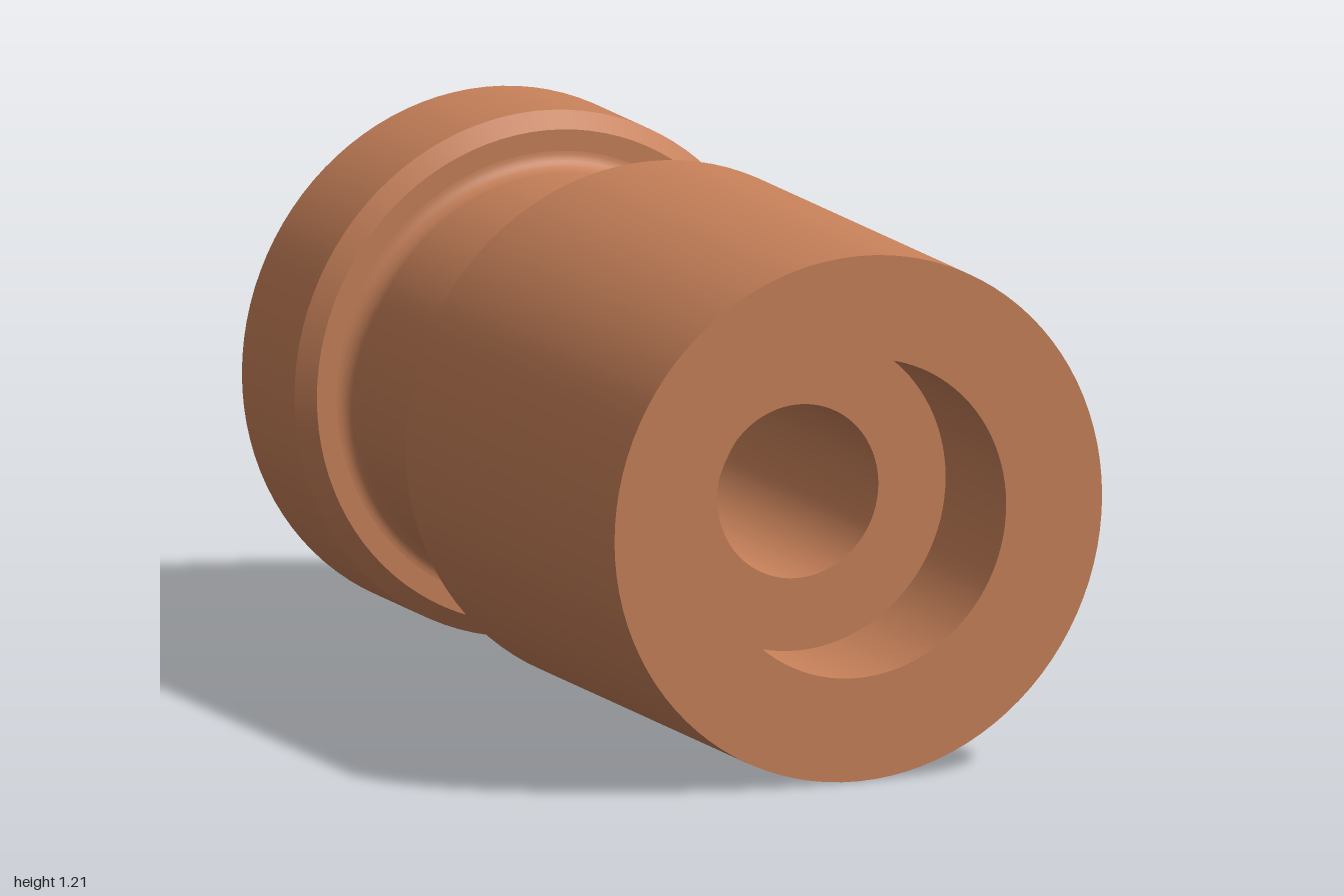
import * as THREE from 'three';
import { mergeGeometries } from 'three/addons/utils/BufferGeometryUtils.js';

const R = 0.605;        // outer radius
const GROOVE = 0.478;   // neck radius
const SOCKET = 0.367;   // counterbore radius
const BORE = 0.2;       // through hole radius
const DEPTH = 0.325;    // counterbore depth
const CHAMFER = 0.038, FILLET = 0.04;
const NECK_BACK = -0.68, NECK_FRONT = -0.16;

// Quarter-round between two profile angles, as [radius, z] points
function arc(r, z, from, to) {
  return Array.from({ length: 9 }, (_, i) => {
    const a = from + (to - from) * i / 8;
    return [r + FILLET * Math.cos(a), z + FILLET * Math.sin(a)];
  });
}

export function createModel() {
  const group = new THREE.Group();
  const copper = new THREE.MeshStandardMaterial({ color: 0xc68059 });
  copper.name = 'copper';

  // Revolve each smooth run separately so the edges between runs stay sharp
  function addPart(name, runs) {
    const parts = runs.map(run =>
      new THREE.LatheGeometry(run.map(([r, z]) => new THREE.Vector2(r, z)), 96));
    const mesh = new THREE.Mesh(mergeGeometries(parts).rotateX(Math.PI / 2), copper);
    mesh.name = name;
    mesh.position.y = R;
    group.add(mesh);
  }
  // Straight profile lines, one run per line
  const lines = (...p) => p.slice(1).map((q, i) => [p[i], q]);

  addPart('backFlange', lines(
    [SOCKET, -1], [R, -1], [R, NECK_BACK - CHAMFER],
    [R - CHAMFER, NECK_BACK], [GROOVE + FILLET, NECK_BACK]));

  addPart('neck', [
    arc(GROOVE + FILLET, NECK_BACK + FILLET, -Math.PI / 2, -Math.PI),
    [[GROOVE, NECK_BACK + FILLET], [GROOVE, NECK_FRONT - FILLET]],
    arc(GROOVE + FILLET, NECK_FRONT - FILLET, Math.PI, Math.PI / 2),
  ]);

  addPart('mainBarrel', lines(
    [GROOVE + FILLET, NECK_FRONT], [R - CHAMFER, NECK_FRONT],
    [R, NECK_FRONT + CHAMFER], [R, 1], [SOCKET, 1]));

  // Stepped hole: front socket, through bore, back socket
  addPart('steppedBore', lines(
    [SOCKET, 1], [SOCKET, 1 - DEPTH], [BORE, 1 - DEPTH],
    [BORE, DEPTH - 1], [SOCKET, DEPTH - 1], [SOCKET, -1]));

  return group;
}
